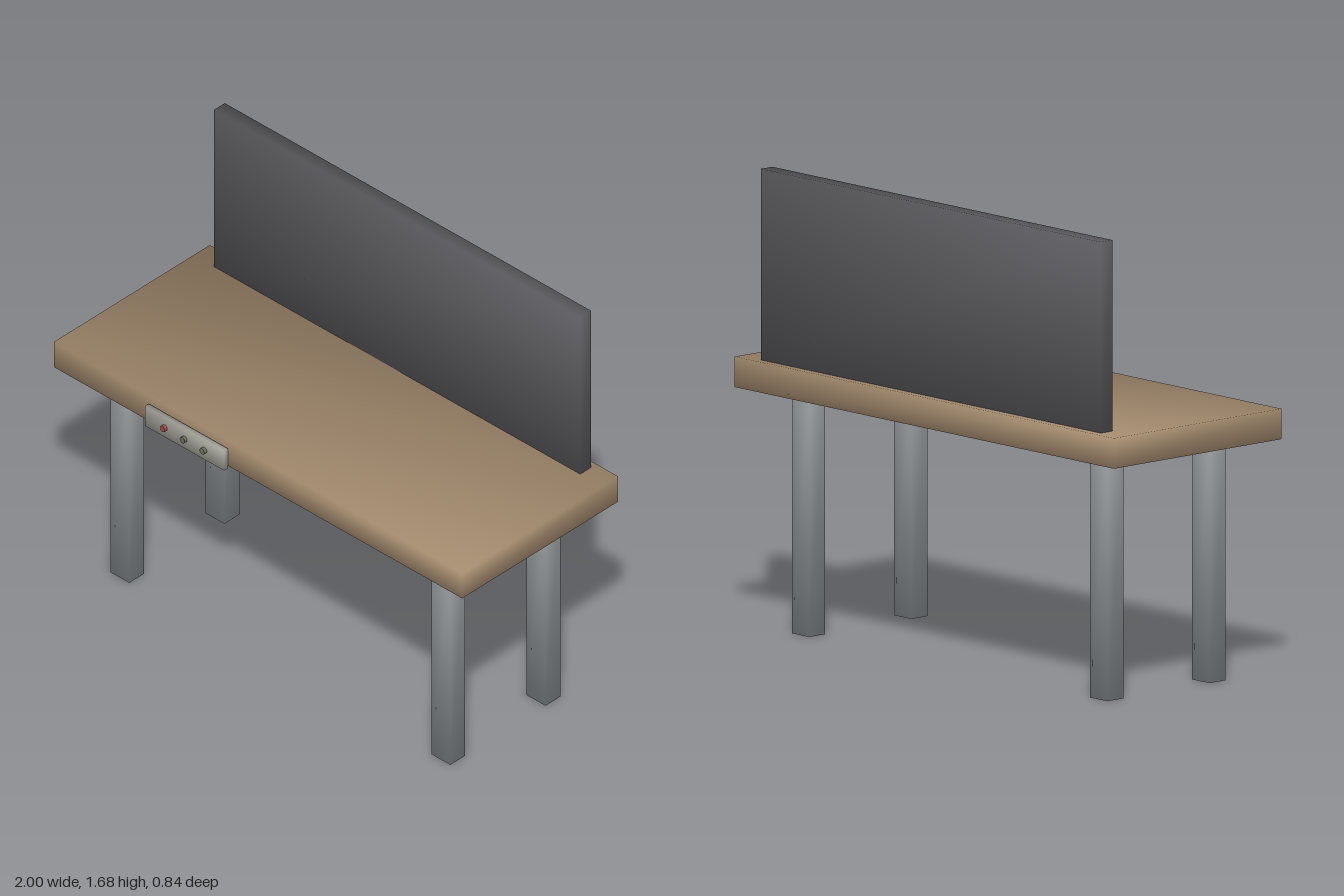
import * as THREE from 'three';

const mat = (color) => new THREE.MeshStandardMaterial({ color });

// Box given by its extents, with softly blended normals shared at each corner
function softBox(name, [x0, x1], [y0, y1], [z0, z1], material) {
  const geo = new THREE.BoxGeometry(x1 - x0, y1 - y0, z1 - z0);
  const pos = geo.attributes.position;
  const k = 1 / Math.sqrt(3);
  for (let i = 0; i < pos.count; i++) {
    geo.attributes.normal.setXYZ(i,
      Math.sign(pos.getX(i)) * k, Math.sign(pos.getY(i)) * k, Math.sign(pos.getZ(i)) * k);
  }
  const mesh = new THREE.Mesh(geo, material);
  mesh.name = name;
  mesh.position.set((x0 + x1) / 2, (y0 + y1) / 2, (z0 + z1) / 2);
  return mesh;
}

export function createModel() {
  const model = new THREE.Group();
  model.name = 'desk';
  const wood = mat(0xa58c6f);
  const steel = mat(0x8c9194);
  const dark = mat(0x5a5a5e);
  const plate = mat(0xa3a29a);

  // Table top and upright privacy screen
  model.add(softBox('tableTop', [-1, 1], [0.88, 0.99], [-0.418, 0.382], wood));
  model.add(softBox('screen', [-0.9, 0.893], [0.99, 1.68], [-0.39, -0.335], dark));

  // Four legs, ending just below the top
  for (const [side, x] of [['Right', -0.787], ['Left', 0.785]]) {
    for (const [end, z] of [['front', 0.228], ['back', -0.26]]) {
      model.add(softBox(`${end}${side}Leg`,
        [x - 0.046, x + 0.046], [0, 0.867], [z - 0.038, z + 0.038], steel));
    }
  }

  // Control panel on the front edge with three buttons
  const controls = new THREE.Group();
  controls.name = 'controlPanel';
  controls.add(softBox('panelPlate', [-0.53, -0.143], [0.873, 0.96], [0.387, 0.406], plate));
  [0xa04a48, 0x6e6a5c, 0x66705e].forEach((color, i) => {
    const geo = new THREE.CylinderGeometry(0.012, 0.012, 0.016, 16);
    geo.rotateX(Math.PI / 2);
    const button = new THREE.Mesh(geo, mat(color));
    button.name = `button${i + 1}`;
    button.position.set(-0.433 + i * 0.097, 0.915, 0.411);
    controls.add(button);
  });
  model.add(controls);

  return model;
}
